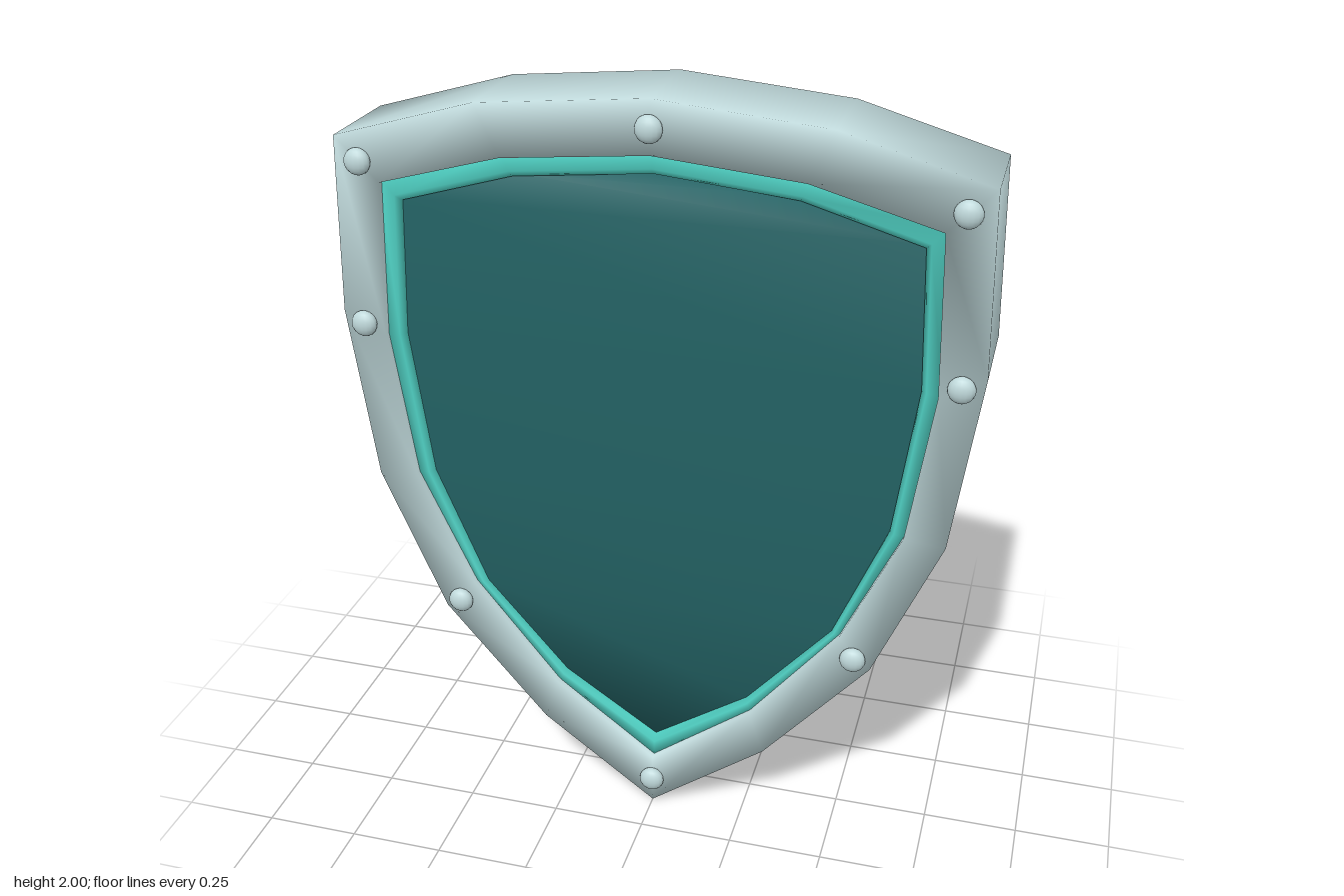
import * as THREE from 'three';

// Right half of each outline, from top centre down to the tip
const RIM = [[0, 2], [0.43, 1.96], [0.795, 1.855], [0.81, 1.4], [0.75, 0.94], [0.585, 0.55], [0.31, 0.23], [0, 0]];
const INNER = [[0, 1.867], [0.37, 1.832], [0.685, 1.745], [0.7, 1.34], [0.645, 0.95], [0.5, 0.635], [0.27, 0.35], [0, 0.147]];
const FIELD = [[0, 1.815], [0.35, 1.78], [0.642, 1.695], [0.657, 1.34], [0.607, 0.95], [0.475, 0.628], [0.255, 0.375], [0, 0.205]];

// Full closed outline, clockwise seen from the front
const mirror = (half) => [...half, ...half.slice(1, -1).reverse().map(([x, y]) => [-x, y])];

// Blend of two outlines
const mix = (a, b, t) => a.map(([x, y], i) => [x + (b[i][0] - x) * t, y + (b[i][1] - y) * t]);

// Closed band swept round the shield; section is a list of [outline, z],
// ordered outer back, outer front, inner front, inner back
function band(section) {
  const pos = [], idx = [], m = section.length;
  const loops = section.map(([half]) => mirror(half));
  const n = loops[0].length;
  for (let i = 0; i < n; i++) {
    section.forEach(([, z], j) => pos.push(...loops[j][i], z));
  }
  for (let i = 0; i < n; i++) {
    for (let j = 0; j < m; j++) {
      const k = (i + 1) % n, l = (j + 1) % m;
      const a = i * m + j, b = k * m + j, c = k * m + l, d = i * m + l;
      idx.push(a, d, b, b, d, c);
    }
  }
  return build(pos, idx);
}

// Solid plate with soft shading, bridged across from side to side
function plate(half, depth) {
  const pos = [], idx = [], loop = mirror(half), n = loop.length;
  for (const z of [depth, -depth]) for (const [x, y] of loop) pos.push(x, y, z);
  const tri = (a, b, c) => idx.push(a, c, b, n + a, n + b, n + c);
  for (let i = 0; i < half.length - 1; i++) {
    const l = (n - i) % n, l2 = n - i - 1;
    if (i > 0) tri(i, i + 1, l);
    if (i < half.length - 2) tri(i + 1, l2, l);
  }
  for (let i = 0; i < n; i++) {
    const k = (i + 1) % n;
    idx.push(i, k, n + i, k, n + k, n + i);
  }
  return build(pos, idx);
}

function build(pos, idx) {
  const g = new THREE.BufferGeometry();
  g.setAttribute('position', new THREE.Float32BufferAttribute(pos, 3));
  g.setIndex(idx);
  g.computeVertexNormals();
  return g;
}

export function createModel() {
  const steel = new THREE.MeshStandardMaterial({ color: 0xbfd8da });
  const trim = new THREE.MeshStandardMaterial({ color: 0x4ecdc0 });
  const field = new THREE.MeshStandardMaterial({ color: 0x236264 });
  steel.name = 'paleSteel';
  trim.name = 'turquoiseTrim';
  field.name = 'deepTeal';

  const model = new THREE.Group();
  model.name = 'shield';
  const add = (name, geometry, material) => {
    const mesh = new THREE.Mesh(geometry, material);
    mesh.name = name;
    model.add(mesh);
    return mesh;
  };

  // Heavy outer rim
  add('rim', band([[RIM, -0.137], [RIM, 0.137], [INNER, 0.137], [INNER, -0.137]]), steel);

  // Slim trim inside the rim, stepping down to the field
  const outer = mix(INNER, RIM, 0.05), ridge = mix(INNER, FIELD, 0.7);
  add('trim', band([
    [outer, -0.12], [outer, 0.12], [ridge, 0.12], [FIELD, 0.105], [FIELD, -0.105], [ridge, -0.12],
  ]), trim);

  // Central field, tucked under the trim
  add('field', plate(mix(FIELD, INNER, 0.15), 0.1), field);

  // Rivets on both faces
  const rivet = new THREE.SphereGeometry(0.034, 16, 10);
  rivet.scale(1, 1, 0.65);
  const spots = [[0, 1.932], [0.733, 1.797], [0.753, 1.373], [0.54, 0.58], [0, 0.08]];
  for (const [x, y] of spots) {
    for (const side of x ? [1, -1] : [1]) {
      for (const z of [0.147, -0.147]) {
        add('rivet', rivet, steel).position.set(x * side, y, z);
      }
    }
  }
  return model;
}
